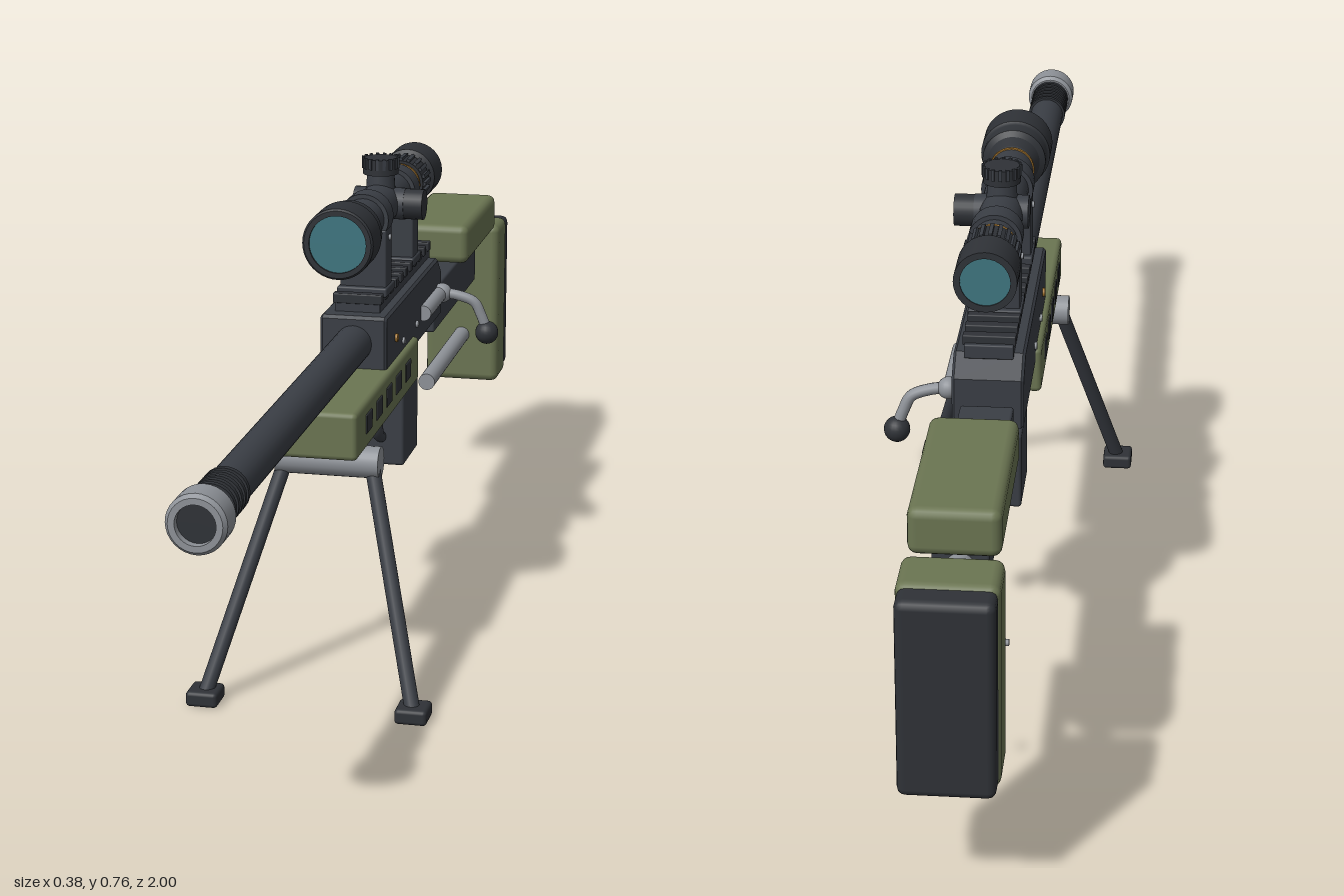
import * as THREE from 'three';
import { RoundedBoxGeometry } from 'three/addons/geometries/RoundedBoxGeometry.js';

export function createModel() {
  const root = new THREE.Group();
  const material = (name, color) => {
    const m = new THREE.MeshStandardMaterial({ color });
    m.name = name;
    return m;
  };
  const metal = material('gunmetal', 0x3a3e45);
  const dark = material('dark metal', 0x2f3237);
  const green = material('olive green', 0x6b7552);
  const steel = material('grey steel', 0x8e9298);
  const glass = material('lens glass', 0x3f7680);
  const brass = material('brass', 0xa87830);

  const add = (name, geometry, mat, x = 0, y = 0, z = 0) => {
    const mesh = new THREE.Mesh(geometry, mat);
    mesh.name = name;
    mesh.position.set(x, y, z);
    root.add(mesh);
    return mesh;
  };
  // Box given by its extents in y and z, centred on x
  const block = (name, mat, w, y0, y1, z0, z1, r = 0.004, x = 0) =>
    add(name, new RoundedBoxGeometry(w, y1 - y0, z1 - z0, 2, r), mat, x, (y0 + y1) / 2, (z0 + z1) / 2);
  // Solid turned around the z axis; the profile lists [radius, z]
  const turned = (name, mat, y, profile, x = 0, seg = 32) => {
    const pts = profile.map(([r, z]) => new THREE.Vector2(r, z));
    const g = new THREE.LatheGeometry(pts, seg);
    g.rotateX(Math.PI / 2);
    return add(name, g, mat, x, y, 0);
  };
  const rodZ = (name, mat, r, x, y, z0, z1, seg = 28) =>
    add(name, new THREE.CylinderGeometry(r, r, z1 - z0, seg).rotateX(Math.PI / 2), mat, x, y, (z0 + z1) / 2);
  const rodX = (name, mat, r, x0, x1, y, z, seg = 24) =>
    add(name, new THREE.CylinderGeometry(r, r, x1 - x0, seg).rotateZ(Math.PI / 2), mat, (x0 + x1) / 2, y, z);
  const ball = (name, mat, r, x, y, z) => add(name, new THREE.SphereGeometry(r, 20, 14), mat, x, y, z);
  const tube = (name, mat, r, points) => {
    const curve = new THREE.CatmullRomCurve3(points.map(p => new THREE.Vector3(...p)));
    return add(name, new THREE.TubeGeometry(curve, 32, r, 12), mat);
  };

  // Barrel with ridges and a hollow muzzle collar
  rodZ('barrel', metal, 0.03, 0, 0.5, 0.06, 0.985);
  for (let i = 0; i < 6; i++) rodZ('barrelRidge', dark, 0.034, 0, 0.5, 0.85 + i * 0.017, 0.859 + i * 0.017);
  turned('muzzleCollar', steel, 0.5,
    [[0.029, 0.947], [0.036, 0.947], [0.036, 0.947], [0.042, 0.953], [0.042, 0.953], [0.042, 0.994],
      [0.042, 0.994], [0.037, 1], [0.037, 1], [0.028, 1], [0.028, 1], [0.028, 0.98]]);
  rodZ('bore', dark, 0.028, 0, 0.5, 0.97, 0.988);

  // Receiver, with the upper rear edge sloping down
  const side = new THREE.Shape();
  [[0.08, 0.437], [0.08, 0.54], [0.075, 0.545], [-0.345, 0.545], [-0.38, 0.515], [-0.38, 0.437]]
    .forEach(([z, y], i) => (i ? side.lineTo(-z, y) : side.moveTo(-z, y)));
  const body = new THREE.ExtrudeGeometry(side, { depth: 0.1, bevelEnabled: true, bevelSize: 0.004, bevelThickness: 0.004, bevelOffset: -0.004, bevelSegments: 1 });
  body.translate(0, 0, -0.05).rotateY(Math.PI / 2);
  add('receiver', body, metal);
  for (const s of [1, -1]) {
    for (const z of [-0.05, -0.16]) rodX('receiverScrew', steel, 0.006, s * 0.055 - 0.003, s * 0.055 + 0.003, 0.475, z, 12);
    rodX('brassPin', brass, 0.007, s * 0.055 - 0.003, s * 0.055 + 0.003, 0.495, 0.008, 12);
  }

  // Toothed sight rail
  block('rail', metal, 0.074, 0.54, 0.562, -0.36, 0.05, 0.002);
  for (let i = 0; i < 11; i++) block('railTooth', dark, 0.08, 0.558, 0.574, -0.352 + i * 0.0385, -0.334 + i * 0.0385, 0.002);

  // Bolt, handle and knob
  rodZ('bolt', steel, 0.013, 0.058, 0.483, -0.345, -0.2);
  ball('boltJoint', steel, 0.017, 0.062, 0.484, -0.345);
  tube('boltHandle', steel, 0.009, [[0.06, 0.485, -0.345], [0.09, 0.481, -0.346], [0.118, 0.47, -0.348], [0.13, 0.447, -0.35], [0.14, 0.42, -0.352]]);
  ball('boltKnob', dark, 0.02, 0.14, 0.416, -0.352);

  // Fore-end with side slots
  block('foreEnd', green, 0.126, 0.385, 0.46, -0.14, 0.335, 0.008);
  for (const s of [1, -1]) {
    for (let i = 0; i < 5; i++) block('foreEndSlot', dark, 0.006, 0.41, 0.441, -0.067 + i * 0.074, -0.027 + i * 0.074, 0.002, s * 0.062);
  }

  // Bipod
  rodX('bipodHinge', steel, 0.025, -0.082, 0.082, 0.36, 0.25);
  for (const s of [1, -1]) {
    const top = new THREE.Vector3(s * 0.07, 0.35, 0.253);
    const foot = new THREE.Vector3(s * 0.163, 0.015, 0.395);
    const leg = add('bipodLeg', new THREE.CylinderGeometry(0.012, 0.012, top.distanceTo(foot), 16), metal);
    leg.position.copy(top).add(foot).multiplyScalar(0.5);
    leg.quaternion.setFromUnitVectors(new THREE.Vector3(0, 1, 0), top.clone().sub(foot).normalize());
    block('bipodFoot', dark, 0.05, 0, 0.024, 0.368, 0.42, 0.006, s * 0.164);
  }

  // Magazine, trigger and curved guards
  block('magazine', metal, 0.08, 0.235, 0.36, -0.247, -0.128, 0.005);
  tube('trigger', steel, 0.007, [[0, 0.445, -0.21], [0, 0.405, -0.222], [0, 0.375, -0.224], [0, 0.35, -0.218]]);
  tube('frontGuard', metal, 0.01, [[0, 0.395, -0.12], [0, 0.36, -0.107], [0, 0.32, -0.1], [0, 0.295, -0.11], [0, 0.28, -0.14]]);
  tube('rearGuard', metal, 0.01, [[0, 0.275, -0.24], [0, 0.27, -0.265], [0, 0.295, -0.3], [0, 0.325, -0.328], [0, 0.355, -0.331], [0, 0.382, -0.322]]);

  // Stock: bar, cheek rest, butt and rods
  block('stockBar', metal, 0.08, 0.4, 0.477, -0.79, -0.388, 0.004);
  rodZ('stockRod', steel, 0.02, 0, 0.425, -0.88, -0.78);
  rodZ('lowerRod', steel, 0.015, 0, 0.27, -0.88, -0.525);
  for (const s of [1, -1]) rodX('stockScrew', steel, 0.005, s * 0.061 - 0.006, s * 0.061 + 0.006, 0.308, -0.79, 12);
  block('cheekRest', green, 0.128, 0.48, 0.55, -0.87, -0.575, 0.014);
  block('butt', green, 0.14, 0.178, 0.487, -0.962, -0.872, 0.014);
  block('buttPad', dark, 0.134, 0.185, 0.482, -1, -0.95, 0.012);

  // Scope: body, rings and lenses
  const sy = 0.686;
  rodZ('scopeTube', metal, 0.034, 0, sy, -0.36, 0.11);
  turned('objectiveBell', dark, sy,
    [[0.033, 0.07], [0.042, 0.092], [0.042, 0.092], [0.051, 0.098], [0.051, 0.098], [0.051, 0.125], [0.056, 0.128],
      [0.056, 0.128], [0.056, 0.187], [0.056, 0.187], [0.053, 0.19], [0.053, 0.19], [0.045, 0.19], [0.045, 0.19], [0.045, 0.17]], 0, 40);
  rodZ('frontLens', glass, 0.045, 0, sy, 0.176, 0.186, 40);
  for (const z of [0.058, -0.275]) rodZ('brassBand', brass, 0.036, 0, sy, z - 0.003, z + 0.003);
  turned('eyepiece', dark, sy,
    [[0.037, -0.395], [0.037, -0.413], [0.037, -0.413], [0.047, -0.413], [0.047, -0.413], [0.047, -0.345], [0.047, -0.345], [0.034, -0.338]].reverse(), 0, 32)
    .material = dark;
  root.children.at(-1).geometry.index.array.reverse();
  root.children.at(-1).geometry.computeVertexNormals();
  rodZ('rearLens', glass, 0.038, 0, sy, -0.411, -0.4);

  // Ribbed zoom ring
  rodZ('zoomRing', dark, 0.039, 0, sy, -0.335, -0.285);
  for (let i = 0; i < 20; i++) {
    const a = i / 20 * Math.PI * 2;
    const rib = add('zoomRib', new THREE.BoxGeometry(0.006, 0.007, 0.044), metal, Math.sin(a) * 0.04, sy + Math.cos(a) * 0.04, -0.31);
    rib.rotation.z = -a;
  }

  // Scope mounts
  for (const z of [-0.015, -0.23]) {
    block('mountBase', metal, 0.082, 0.562, 0.577, z - 0.032, z + 0.032, 0.003);
    block('mountPost', metal, 0.076, 0.57, 0.67, z - 0.022, z + 0.022, 0.003);
    rodZ('mountRing', metal, 0.041, 0, sy, z - 0.02, z + 0.02);
    for (const s of [1, -1]) rodX('mountScrew', steel, 0.005, s * 0.038 - 0.004, s * 0.038 + 0.004, 0.655, z, 12);
  }

  // Adjustment turrets with knurled tops
  const tz = -0.127;
  rodX('turretHub', metal, 0.026, -0.042, 0.042, sy, tz);
  rodX('sideTurret', dark, 0.025, 0.04, 0.073, sy, tz);
  add('turretNeck', new THREE.CylinderGeometry(0.022, 0.024, 0.03, 24), metal, 0, 0.725, tz);
  add('topTurret', new THREE.CylinderGeometry(0.029, 0.029, 0.026, 24), dark, 0, 0.748, tz);
  for (let i = 0; i < 16; i++) {
    const a = i / 16 * Math.PI * 2;
    const knurl = add('turretKnurl', new THREE.BoxGeometry(0.005, 0.018, 0.004), metal, Math.sin(a) * 0.029, 0.754, tz + Math.cos(a) * 0.029);
    knurl.rotation.y = a;
  }

  return root;
}
